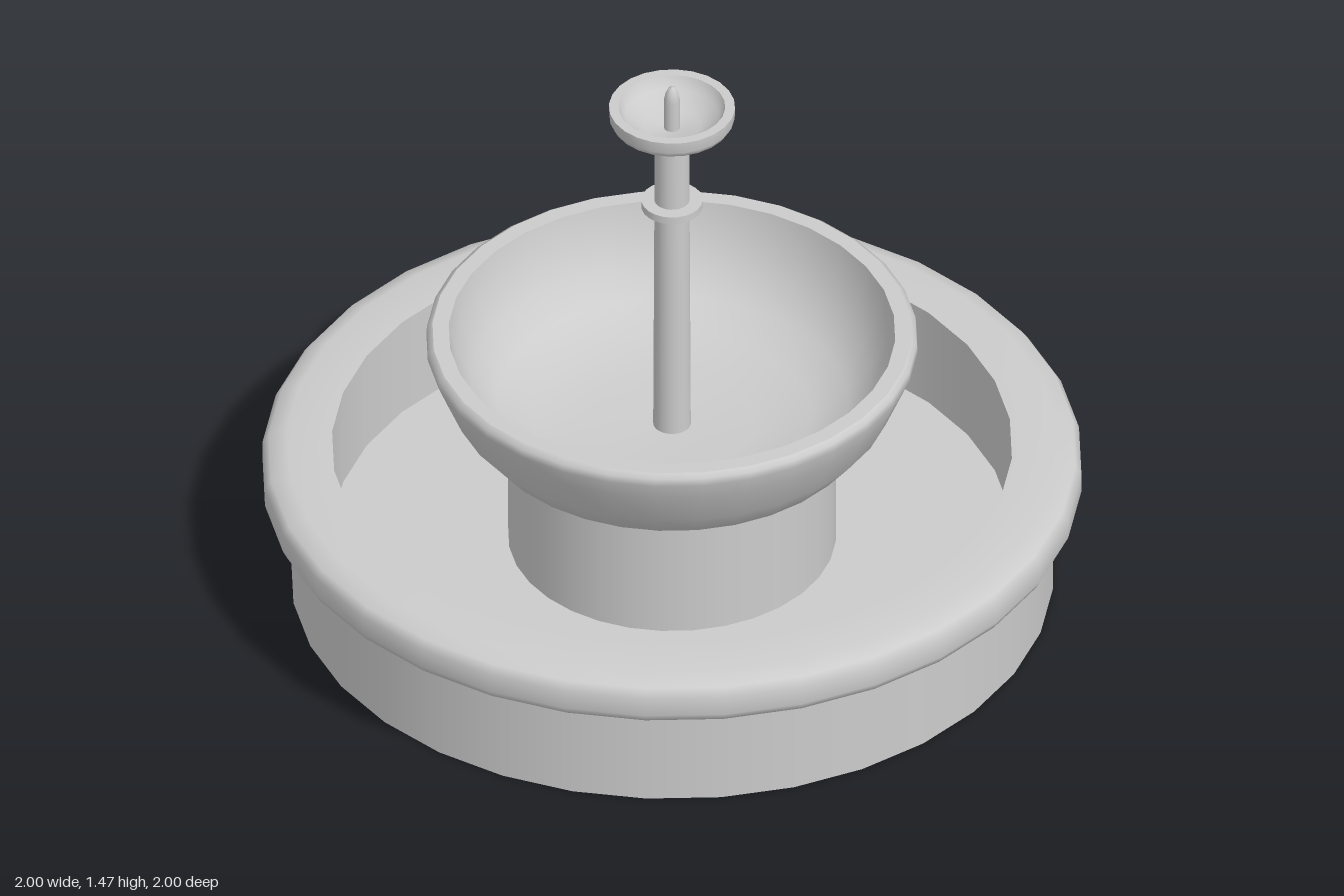
import * as THREE from 'three';
import { mergeGeometries } from 'three/addons/utils/BufferGeometryUtils.js';

const stone = new THREE.MeshStandardMaterial({ color: 0xcccccc, side: THREE.DoubleSide });

// Turned part: each profile of [radius, height] points is smooth, with sharp edges between profiles
function turned(name, sides, ...profiles) {
  const parts = profiles.map((p) =>
    new THREE.LatheGeometry(p.map(([r, y]) => new THREE.Vector2(r, y)), sides));
  const mesh = new THREE.Mesh(mergeGeometries(parts), stone);
  mesh.name = name;
  return mesh;
}

export function createModel() {
  const fountain = new THREE.Group();
  fountain.name = 'fountain';

  const floorY = 0.12;
  fountain.add(
    // Lower pool: open-bottomed outer wall, rounded coping, inner wall and ring-shaped floor
    turned('poolWall', 32, [[0.93, 0], [0.93, 0.26]]),
    turned('poolCoping', 32, [
      [0.93, 0.26], [0.97, 0.265], [0.99, 0.28], [1, 0.3], [1, 0.35],
      [0.985, 0.372], [0.94, 0.39], [0.83, 0.39],
    ]),
    turned('poolInnerWall', 32, [[0.83, 0.39], [0.83, floorY]]),
    turned('poolFloor', 32, [[0.83, floorY], [0.4, floorY]]),

    // Hollow pedestal carrying the large bowl
    turned('pedestal', 32, [[0.4, floorY], [0.4, 0.43]]),
    turned('largeBowl', 32,
      [[0, 0.43], [0.4, 0.43]],
      [[0.4, 0.43], [0.48, 0.48], [0.54, 0.555], [0.58, 0.65], [0.6, 0.7], [0.598, 0.72], [0.585, 0.73]],
      [[0.585, 0.73], [0.545, 0.73]],
      [[0.545, 0.73], [0.53, 0.66], [0.49, 0.58], [0.43, 0.52], [0.34, 0.48], [0.2, 0.46], [0, 0.455]]),

    // Slim column with its collar
    turned('column', 24, [[0.046, 0.45], [0.042, 1.33]]),
    turned('columnCollar', 24,
      [[0.042, 1.11], [0.075, 1.11]],
      [[0.075, 1.11], [0.075, 1.13]],
      [[0.075, 1.13], [0.042, 1.13]]),

    // Small top bowl and spout
    turned('topBowl', 24,
      [[0, 1.325], [0.06, 1.325], [0.115, 1.345], [0.145, 1.365], [0.153, 1.38], [0.154, 1.41]],
      [[0.154, 1.41], [0.13, 1.41]],
      [[0.13, 1.41], [0.115, 1.38], [0.07, 1.355], [0, 1.345]]),
    turned('spout', 12, [[0.02, 1.345], [0.02, 1.43], [0.016, 1.45], [0.009, 1.465], [0, 1.47]]),
  );
  return fountain;
}
